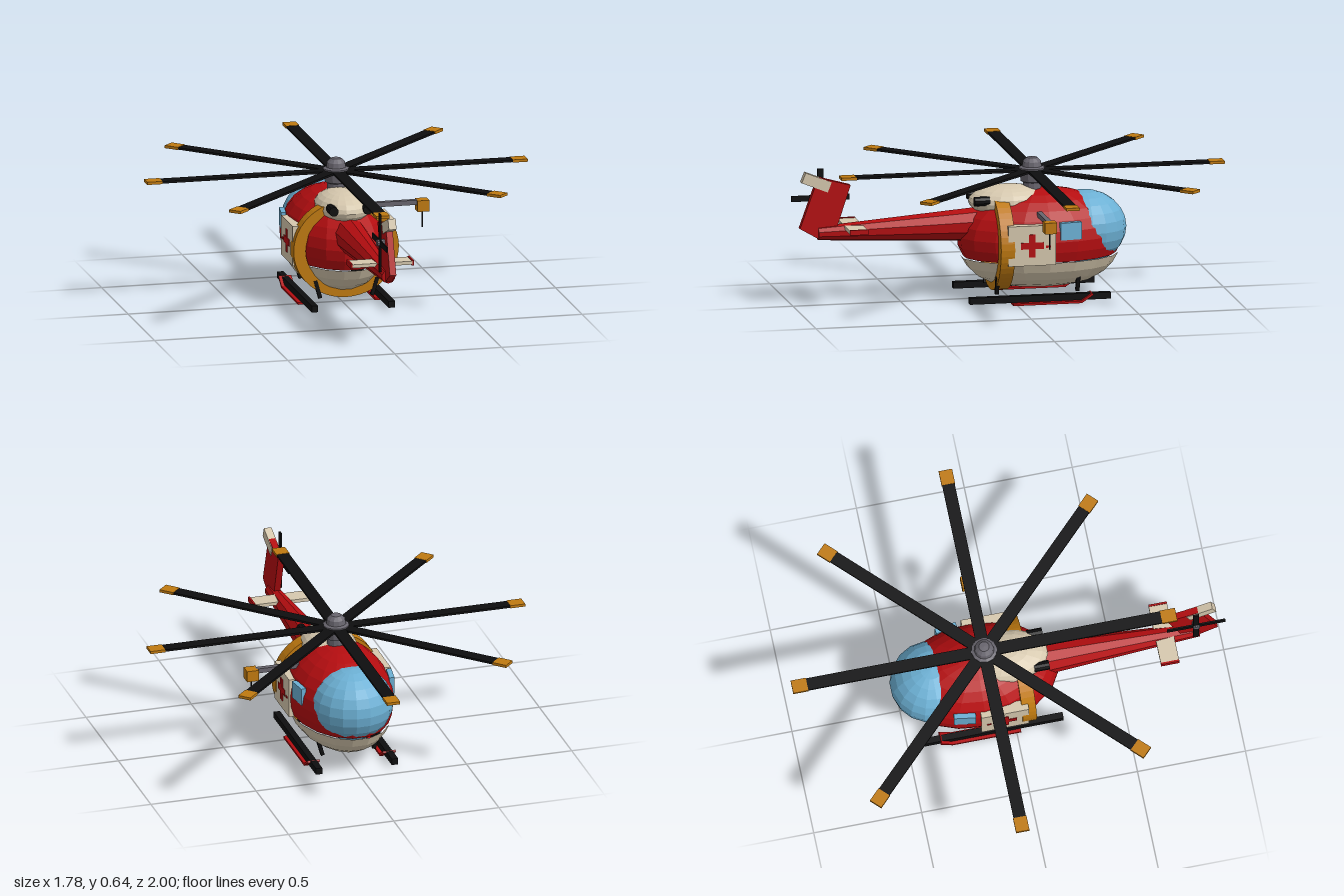
import * as THREE from 'three';

export function createModel() {
  const model = new THREE.Group();
  model.name = 'rescueHelicopter';
  const mat = (name, color) => {
    const m = new THREE.MeshStandardMaterial({ color });
    m.name = name;
    return m;
  };
  const red = mat('red', 0xb50d10), cream = mat('cream', 0xd6c8ae), yellow = mat('yellow', 0xc07a10);
  const black = mat('black', 0x0e0e0f), blue = mat('blue', 0x6cb0d4), grey = mat('grey', 0x68656e);

  // Adds a faceted mesh
  const add = (name, geo, material, pos = [0, 0, 0], rot = [0, 0, 0], parent = model) => {
    const g = geo.index ? geo.toNonIndexed() : geo;
    g.computeVertexNormals();
    const mesh = new THREE.Mesh(g, material);
    mesh.name = name;
    mesh.position.set(...pos);
    mesh.rotation.set(...rot);
    parent.add(mesh);
    return mesh;
  };
  const box = (name, size, material, pos, rot, parent) =>
    add(name, new THREE.BoxGeometry(...size), material, pos, rot, parent);
  const ball = (r, from = 0, to = Math.PI, rows = 12) =>
    new THREE.SphereGeometry(1, 18, rows, 0, Math.PI * 2, from, to - from).scale(...r);

  // Fuselage: upper shell and fuller lower hull, slightly shorter at the nose
  const cut = Math.acos(-0.378);
  const shorten = (geo, fuller) => {
    const p = geo.attributes.position;
    for (let i = 0; i < p.count; i++) {
      let k = 1;
      if (fuller) {
        const s = Math.max(1 - (p.getY(i) / 0.228) ** 2, 1e-6);
        k = Math.pow(s, -0.2);
      }
      const z = p.getZ(i) * k;
      p.setXYZ(i, p.getX(i) * (fuller ? Math.pow(k, 0.7) : 1), p.getY(i), z < 0 ? z * 0.97 : z);
    }
    return geo;
  };
  add('upperBody', shorten(ball([0.238, 0.225, 0.387], 0, cut, 9), false), red, [0, 0.28, -0.15]);
  add('lowerHull', shorten(ball([0.238, 0.228, 0.387], cut, Math.PI, 5), true), cream, [0, 0.28, -0.15]);
  add('canopy', ball([0.188, 0.168, 0.19]), blue, [0, 0.312, -0.355]);

  // Band around the cabin
  const band = new THREE.Shape().absellipse(0, 0, 0.246, 0.226, 0, Math.PI * 2);
  band.holes.push(new THREE.Path().absellipse(0, 0, 0.19, 0.175, 0, Math.PI * 2));
  add('cabinBand', new THREE.ExtrudeGeometry(band, { depth: 0.065, bevelEnabled: false, curveSegments: 24 }),
    yellow, [0, 0.266, 0.02]);

  // Engine cowl
  add('engineCowl', ball([0.125, 0.073, 0.185]), cream, [0, 0.45, 0.0]);

  for (const s of [-1, 1]) {
    add('exhaust', new THREE.CylinderGeometry(0.022, 0.022, 0.07, 10), black, [s * 0.08, 0.465, 0.14], [Math.PI / 2, 0, 0]);

    // Sliding door with cross and handle
    box('door', [0.05, 0.185, 0.22], cream, [s * 0.217, 0.283, -0.06]);
    box('crossUpright', [0.004, 0.105, 0.03], red, [s * 0.243, 0.283, -0.06]);
    for (const e of [-1, 1])
      box('crossArm', [0.004, 0.03, 0.0375], red, [s * 0.243, 0.283, -0.06 + e * 0.03375]);
    box('doorHandle', [0.004, 0.01, 0.022], red, [s * 0.243, 0.277, -0.135]);
    box('cabinWindow', [0.024, 0.08, 0.1], blue, [s * 0.217, 0.34, -0.243], [0, s * 0.15, 0]);

    // Landing skid, struts and step plate with upturned front
    box('skid', [0.03, 0.03, 0.655], black, [s * 0.18, 0.027, -0.108]);
    box('skidPlate', [0.06, 0.01, 0.32], red, [s * 0.18, 0.005, -0.14]);
    box('skidPlateFront', [0.06, 0.01, 0.065], red, [s * 0.18, 0.023, -0.323], [0.58, 0, 0]);
    for (const z of [0.08, -0.295])
      box('skidStrut', [0.017, 0.085, 0.017], black, [s * 0.133, 0.083, z], [0, 0, s * -0.28]);
  }

  // Rescue winch on the left side
  box('winchArm', [0.22, 0.022, 0.024], grey, [0.27, 0.415, -0.107]);
  box('winchDrum', [0.055, 0.052, 0.055], yellow, [0.402, 0.4, -0.107]);
  box('winchCable', [0.005, 0.08, 0.005], black, [0.402, 0.337, -0.107]);

  // Main rotor
  const rotor = new THREE.Group();
  rotor.name = 'mainRotor';
  rotor.position.set(0, 0.585, -0.11);
  model.add(rotor);
  const hub = [[0, -0.1], [0.042, -0.1], [0.042, -0.055], [0.052, -0.05], [0.06, 0.012], [0.046, 0.018],
    [0.042, 0.04], [0.024, 0.058], [0, 0.06]].map(p => new THREE.Vector2(...p));
  add('rotorHub', new THREE.LatheGeometry(hub, 12), grey, [0, 0, 0], [0, 0, 0], rotor);
  for (let i = 0; i < 8; i++) {
    const arm = new THREE.Group();
    arm.name = 'rotorBlade';
    arm.rotation.y = i * Math.PI / 4;
    rotor.add(arm);
    box('blade', [0.79, 0.01, 0.057], black, [0.425, 0, 0], [0, 0, 0], arm);
    box('bladeTip', [0.07, 0.013, 0.062], yellow, [0.855, 0, 0], [0, 0, 0], arm);
  }

  // Tail boom
  add('tailBoom', new THREE.CylinderGeometry(0.032, 0.078, 0.73, 10), red, [0, 0.339, 0.52], [Math.PI / 2 + 0.015, 0, 0]);

  // Swept fin, drawn in the z-y plane
  const fin = new THREE.Shape([[0.885, 0.595], [0.735, 0.553], [0.805, 0.34], [0.885, 0.31], [0.97, 0.36]]
    .map(([z, y]) => new THREE.Vector2(-z, y)));
  add('tailFin', new THREE.ExtrudeGeometry(fin, { depth: 0.03, bevelEnabled: false }),
    red, [-0.015, 0, 0], [0, Math.PI / 2, 0]);
  box('finCap', [0.036, 0.05, 0.13], cream, [0, 0.572, 0.893], [-0.38, 0, 0]);

  // Stabiliser with end plates
  box('stabiliser', [0.28, 0.016, 0.085], cream, [0, 0.36, 0.723]);
  for (const s of [-1, 1]) box('stabiliserTip', [0.009, 0.024, 0.085], red, [s * 0.143, 0.36, 0.723]);

  // Tail rotor on the right side
  box('tailRotorBladeUpright', [0.008, 0.27, 0.027], black, [-0.036, 0.49, 0.865]);
  box('tailRotorBladeLevel', [0.007, 0.027, 0.27], black, [-0.036, 0.49, 0.865]);
  add('tailRotorHub', new THREE.CylinderGeometry(0.016, 0.016, 0.04, 10), grey, [-0.03, 0.49, 0.865], [0, 0, Math.PI / 2]);

  return model;
}
